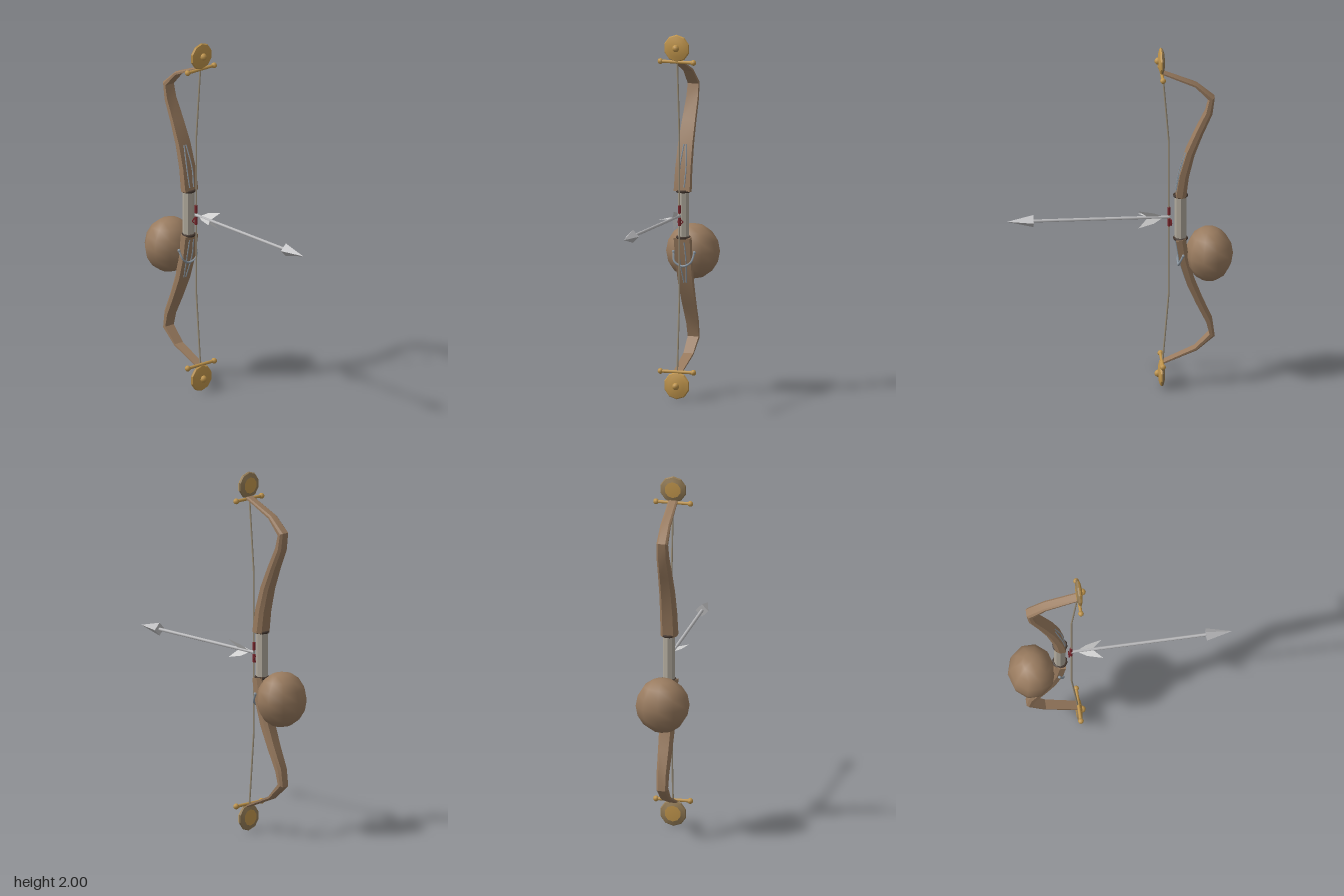
import * as THREE from 'three';
import { toCreasedNormals } from 'three/addons/utils/BufferGeometryUtils.js';

const mat = (name, color, side = THREE.FrontSide) => {
  const m = new THREE.MeshStandardMaterial({ color, side });
  m.name = name;
  return m;
};

// Skin a closed loop through cross-sections (arrays of Vector3), capped at both ends
function skin(sections) {
  const n = sections[0].length, pos = [], idx = [];
  sections.forEach(s => s.forEach(p => pos.push(p.x, p.y, p.z)));
  for (let i = 0; i < sections.length - 1; i++) {
    for (let j = 0; j < n; j++) {
      const a = i * n + j, b = i * n + (j + 1) % n;
      idx.push(a, b, b + n, a, b + n, a + n);
    }
  }
  const last = (sections.length - 1) * n;
  for (let j = 1; j < n - 1; j++) idx.push(0, j + 1, j, last, last + j, last + j + 1);
  const g = new THREE.BufferGeometry();
  g.setAttribute('position', new THREE.Float32BufferAttribute(pos, 3));
  g.setIndex(idx);
  return toCreasedNormals(g, 0.35);
}

// Lathe about z from [radius, z] points running from back to front
function turned(points, sides) {
  const g = new THREE.LatheGeometry(points.map(p => new THREE.Vector2(...p)), sides);
  return toCreasedNormals(g.rotateX(Math.PI / 2), 0.3);
}

export function createModel() {
  const wood = mat('wood', 0x997b5f);
  const gold = mat('gold', 0xc0954c);
  const bronze = mat('bronze', 0x947c56);
  const steel = mat('steel', 0xbcbcbe);
  const tendril = mat('tendrilMetal', 0x8d98a2);
  const feather = mat('feather', 0xd2d2d2, THREE.DoubleSide);
  const wrap = mat('gripWrap', 0xb0a99c);
  const dark = mat('darkBinding', 0x453830);
  const red = mat('redThread', 0x7c262c);
  const cord = mat('cord', 0x9c907a);

  const root = new THREE.Group();
  root.name = 'bow';
  const add = (parent, name, geo, material, x = 0, y = 0, z = 0) => {
    const m = new THREE.Mesh(geo, material);
    m.name = name;
    m.position.set(x, y, z);
    parent.add(m);
    return m;
  };
  const tube = (pts, r, seg = 12) => new THREE.TubeGeometry(
    new THREE.CatmullRomCurve3(pts.map(p => new THREE.Vector3(...p))), seg, r, 6);

  // Limb stations: y above the centre, z, half width, half thickness
  const stations = [
    [0.125, -0.33, 0.046, 0.028], [0.25, -0.348, 0.044, 0.026], [0.38, -0.383, 0.041, 0.023],
    [0.5, -0.432, 0.037, 0.02], [0.615, -0.485, 0.033, 0.018], [0.70, -0.5, 0.031, 0.016],
    [0.782, -0.413, 0.028, 0.009], [0.862, -0.228, 0.025, 0.006],
  ];
  // Cross-section: flat belly, chamfered back, anticlockwise seen from above
  const outline = [[-1, 1], [1, 1], [1, -0.2], [0.65, -1], [-0.65, -1], [-1, -0.2]];
  const limbGeo = skin(stations.map(([y, z, w, t], i) => {
    const a = stations[Math.max(i - 1, 0)], b = stations[Math.min(i + 1, stations.length - 1)];
    const dy = b[0] - a[0], dz = b[1] - a[1], l = Math.hypot(dy, dz);
    return outline.map(([u, v]) => new THREE.Vector3(u * w, y - dz / l * v * t, z + dy / l * v * t));
  }));

  // Tip disc: gold face, bronze back rim and gold back centre
  const faceGeo = turned([[0.075, 0], [0.07, 0.008], [0.045, 0.015], [0, 0.02]], 10);
  const rimGeo = turned([[0.045, -0.016], [0.07, -0.008], [0.075, 0]], 10);
  const backGeo = turned([[0, -0.019], [0.045, -0.016]], 10);

  for (const s of [1, -1]) {
    const half = new THREE.Group();
    half.name = s > 0 ? 'upperHalf' : 'lowerHalf';
    half.position.y = 1;
    half.scale.y = s;
    root.add(half);

    add(half, 'limb', limbGeo, wood);
    add(half, 'tipDisc', faceGeo, gold, 0, 0.925, -0.226);
    add(half, 'discBackRim', rimGeo, bronze, 0, 0.925, -0.226);
    add(half, 'discBackCentre', backGeo, gold, 0, 0.925, -0.226);
    add(half, 'discBoss', new THREE.SphereGeometry(0.02, 8, 6), gold, 0, 0.927, -0.208);
    const bar = add(half, 'crossBar', new THREE.CylinderGeometry(0.009, 0.009, 0.19, 8), gold, 0, 0.85, -0.228);
    bar.rotation.z = Math.PI / 2;
    for (const x of [-0.095, 0.095])
      add(half, 'barKnob', new THREE.SphereGeometry(0.016, 8, 6), gold, x, 0.85, -0.228);

    // Dark collar between grip and limb
    const collar = add(half, 'gripCollar', new THREE.TorusGeometry(0.034, 0.008, 6, 10), dark, 0, 0.127, -0.33);
    collar.rotation.x = Math.PI / 2;

    // Metal tendrils on the belly of the limb
    for (const x of [-0.014, 0.014])
      add(half, 'tendril', tube([[x, 0.15, -0.304], [x * 1.3, 0.25, -0.321], [x * 0.5, 0.38, -0.359]], 0.004), tendril);
  }

  // Grip
  add(root, 'grip', toCreasedNormals(new THREE.CylinderGeometry(0.032, 0.032, 0.25, 8), 0.3), wrap, 0, 1.003, -0.33);

  // Curled ornament slung across the lower limb
  add(root, 'curlOrnament', tube([[-0.06, 0.79, -0.34], [-0.048, 0.74, -0.318], [0, 0.715, -0.318],
    [0.048, 0.74, -0.318], [0.06, 0.79, -0.34]], 0.006, 16), tendril);
  for (const x of [-0.06, 0.06])
    add(root, 'curlKnob', new THREE.SphereGeometry(0.009, 6, 5), tendril, x, 0.79, -0.34);

  // Round body behind the lower limb
  const ball = add(root, 'roundBody', new THREE.SphereGeometry(1, 10, 8), wood, 0, 0.776, -0.485);
  ball.scale.set(0.13, 0.153, 0.148);
  ball.rotation.y = Math.PI / 2;

  // String in three straight runs
  const knots = [[1.862, -0.232], [1.45, -0.266], [0.55, -0.266], [0.138, -0.232]];
  for (let i = 0; i < 3; i++) {
    const [y0, z0] = knots[i], [y1, z1] = knots[i + 1];
    const run = add(root, 'bowString', new THREE.CylinderGeometry(0.005, 0.005, Math.hypot(y1 - y0, z1 - z0), 6),
      cord, 0, (y0 + y1) / 2, (z0 + z1) / 2);
    run.rotation.x = Math.atan2(z0 - z1, y0 - y1);
  }

  // Red servings above and below the arrow, with a small tied loop
  for (const y of [1.035, 0.968])
    add(root, 'stringServing', new THREE.CylinderGeometry(0.008, 0.008, 0.045, 6), red, 0, y, -0.268);
  add(root, 'servingLoop', new THREE.TorusGeometry(0.016, 0.004, 5, 4), red, 0, 0.965, -0.28);

  // Arrow
  const arrow = new THREE.Group();
  arrow.name = 'arrow';
  arrow.position.y = 1;
  root.add(arrow);
  const shaft = add(arrow, 'arrowShaft', new THREE.CylinderGeometry(0.009, 0.009, 0.75, 6), steel, 0, 0, 0.105);
  shaft.rotation.x = Math.PI / 2;
  const head = add(arrow, 'arrowHead', toCreasedNormals(new THREE.ConeGeometry(0.036, 0.143, 4), 0.3), steel, 0, 0, 0.541);
  head.rotation.x = Math.PI / 2;

  // Three swept vanes; the shape's y axis lies along the arrow
  const vane = new THREE.Shape([[0.004, -0.235], [0.035, -0.185], [0.058, -0.1], [0.006, -0.148]]
    .map(p => new THREE.Vector2(...p)));
  const vaneGeo = new THREE.ShapeGeometry(vane).rotateX(Math.PI / 2);
  for (const a of [Math.PI, Math.PI / 3, -Math.PI / 3])
    add(arrow, 'fletching', vaneGeo, feather).rotation.z = a;

  return root;
}
